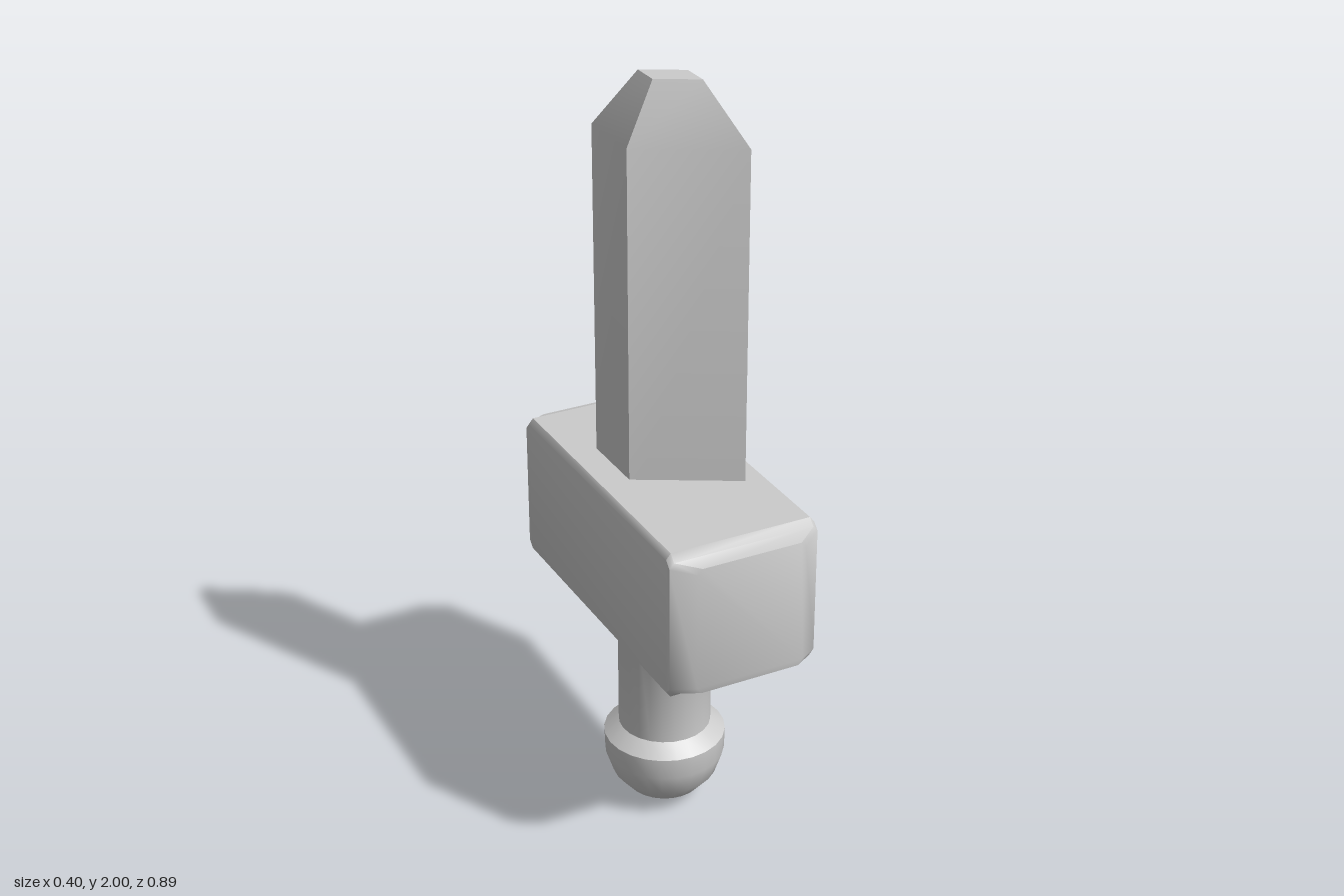
import * as THREE from 'three';
import { toCreasedNormals } from 'three/addons/utils/BufferGeometryUtils.js';

const CREASE = 0.72;

// Skin between rings of [x, y, z] corners, counter-clockwise seen from the last ring, with flat caps
function loft(rings) {
  const n = rings[0].length, last = (rings.length - 1) * n, index = [];
  for (let r = 0; r < last; r += n) {
    for (let j = 0; j < n; j++) {
      const k = (j + 1) % n;
      index.push(r + j, r + k, r + n + k, r + j, r + n + k, r + n + j);
    }
  }
  for (let j = 1; j < n - 1; j++) {
    index.push(0, j + 1, j, last, last + j, last + j + 1);
  }
  const geometry = new THREE.BufferGeometry();
  geometry.setAttribute('position', new THREE.Float32BufferAttribute(rings.flat(2), 3));
  geometry.setIndex(index);
  return geometry;
}

export function createModel() {
  const model = new THREE.Group();
  model.name = 'sword';
  const material = new THREE.MeshStandardMaterial({ color: 0xcccccc });
  const add = (name, geometry) => {
    const mesh = new THREE.Mesh(toCreasedNormals(geometry, CREASE), material);
    mesh.name = name;
    model.add(mesh);
    return mesh;
  };

  // Blade: skewed diamond section, narrowing to a small flat tip
  const bladeBase = [[-0.114, -0.163], [-0.114, 0.023], [0.137, 0.16], [0.137, -0.028]];
  const bladeTip = [[-0.039, -0.067], [-0.039, 0.008], [0.062, 0.063], [0.062, -0.012]];
  const level = (corners, y) => corners.map(([x, z]) => [x, y, z]);
  add('blade', loft([level(bladeBase, 0.9), level(bladeBase, 1.85), level(bladeTip, 2)]));

  // Guard: block along z with bevelled edges and chamfered ends
  const section = (z, w, h) => {
    const cy = 0.785, bx = 0.012, by = 0.015;
    return [[w, -h + by], [w, h - by], [w - bx, h], [-w + bx, h],
      [-w, h - by], [-w, -h + by], [-w + bx, -h], [w - bx, -h]]
      .map(([x, y]) => [x, cy + y, z]);
  };
  const ends = [[0.445, 0.145, 0.173], [0.405, 0.2, 0.182], [0.388, 0.2, 0.2]];
  add('guard', loft([
    ...ends.map(([z, w, h]) => section(-z, w, h)),
    ...ends.slice().reverse().map(([z, w, h]) => section(z, w, h)),
  ]));

  // Grip and rounded pommel, turned as one piece with a flared collar
  const profile = [[0, 0.003], [0.05, 0.01], [0.1, 0.04], [0.138, 0.085], [0.158, 0.145],
    [0.16, 0.203], [0.121, 0.235], [0.121, 0.545], [0.147, 0.585], [0.147, 0.62]]
    .map(([r, y]) => new THREE.Vector2(r, y));
  add('gripAndPommel', new THREE.LatheGeometry(profile, 24)).position.x = -0.005;

  return model;
}
